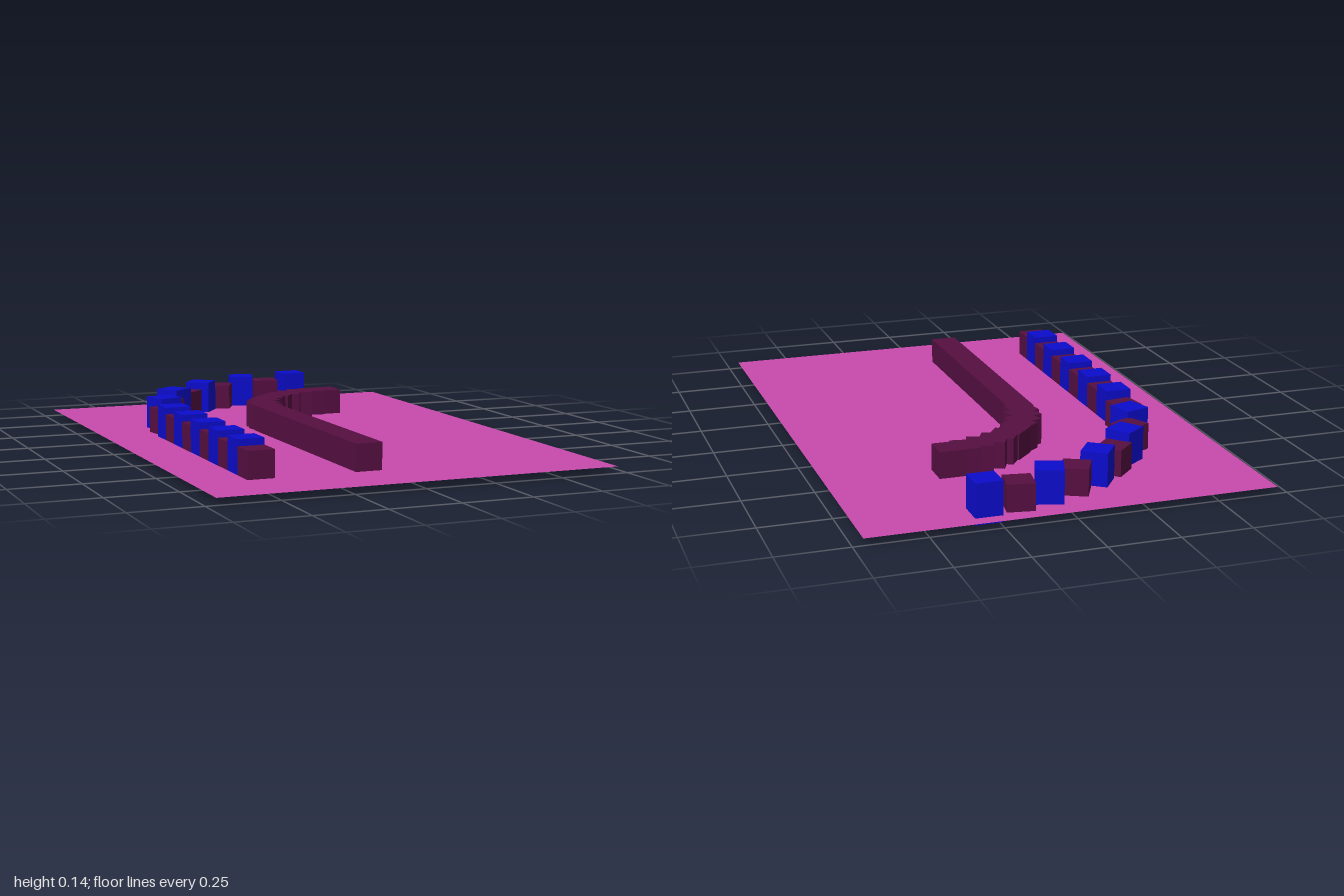
import * as THREE from 'three';

export function createModel() {
  const model = new THREE.Group();
  const U = 2 / 21; // one block
  const pink = new THREE.MeshStandardMaterial({ color: 0xc84aad, side: THREE.DoubleSide });
  pink.name = 'pink ground';
  const maroon = new THREE.MeshStandardMaterial({ color: 0x560f42 });
  maroon.name = 'maroon';
  const blue = new THREE.MeshStandardMaterial({ color: 0x0c0ccc });
  blue.name = 'blue';

  const midY = 0.75 * U;
  const cube = new THREE.BoxGeometry(U, U, U);
  const tallBlock = new THREE.BoxGeometry(U, 1.5 * U, U);

  function add(parent, name, geometry, material, x, z, turn = 0) {
    const mesh = new THREE.Mesh(geometry, material);
    mesh.name = name;
    mesh.position.set(x * U, midY, z * U);
    mesh.rotation.y = turn;
    parent.add(mesh);
  }

  // Ground sheet, level with the underside of the cubes
  const ground = new THREE.Mesh(new THREE.PlaneGeometry(15 * U, 21 * U), pink);
  ground.name = 'ground';
  ground.rotation.x = -Math.PI / 2;
  ground.position.y = 0.25 * U;
  model.add(ground);

  // Both kerbs bend a quarter turn round the same centre
  const cx = 3, cz = -1.5;
  function bend(radius, place) {
    for (let i = 1; i <= 10; i++) {
      const a = (i * Math.PI) / 20;
      place(i, cx - radius * Math.cos(a), cz - radius * Math.sin(a), a);
    }
  }

  // Outer kerb: alternating low maroon and tall blue blocks
  const outer = new THREE.Group();
  outer.name = 'outerKerb';
  const placeOuter = (i, x, z, turn) => i % 2
    ? add(outer, 'lowBlock', cube, maroon, x, z, turn)
    : add(outer, 'tallBlock', tallBlock, blue, x, z, turn);
  for (let i = 1; i <= 10; i++) placeOuter(i, -5, 8.5 - i, 0);
  bend(8, placeOuter);
  model.add(outer);

  // Inner kerb: a straight bar, then overlapping cubes round the bend
  const inner = new THREE.Group();
  inner.name = 'innerKerb';
  add(inner, 'straightBar', new THREE.BoxGeometry(U, U, 10 * U), maroon, -1, 3);
  bend(4, (i, x, z, turn) => add(inner, 'bendBlock', cube, maroon, x, z, turn));
  model.add(inner);

  return model;
}
